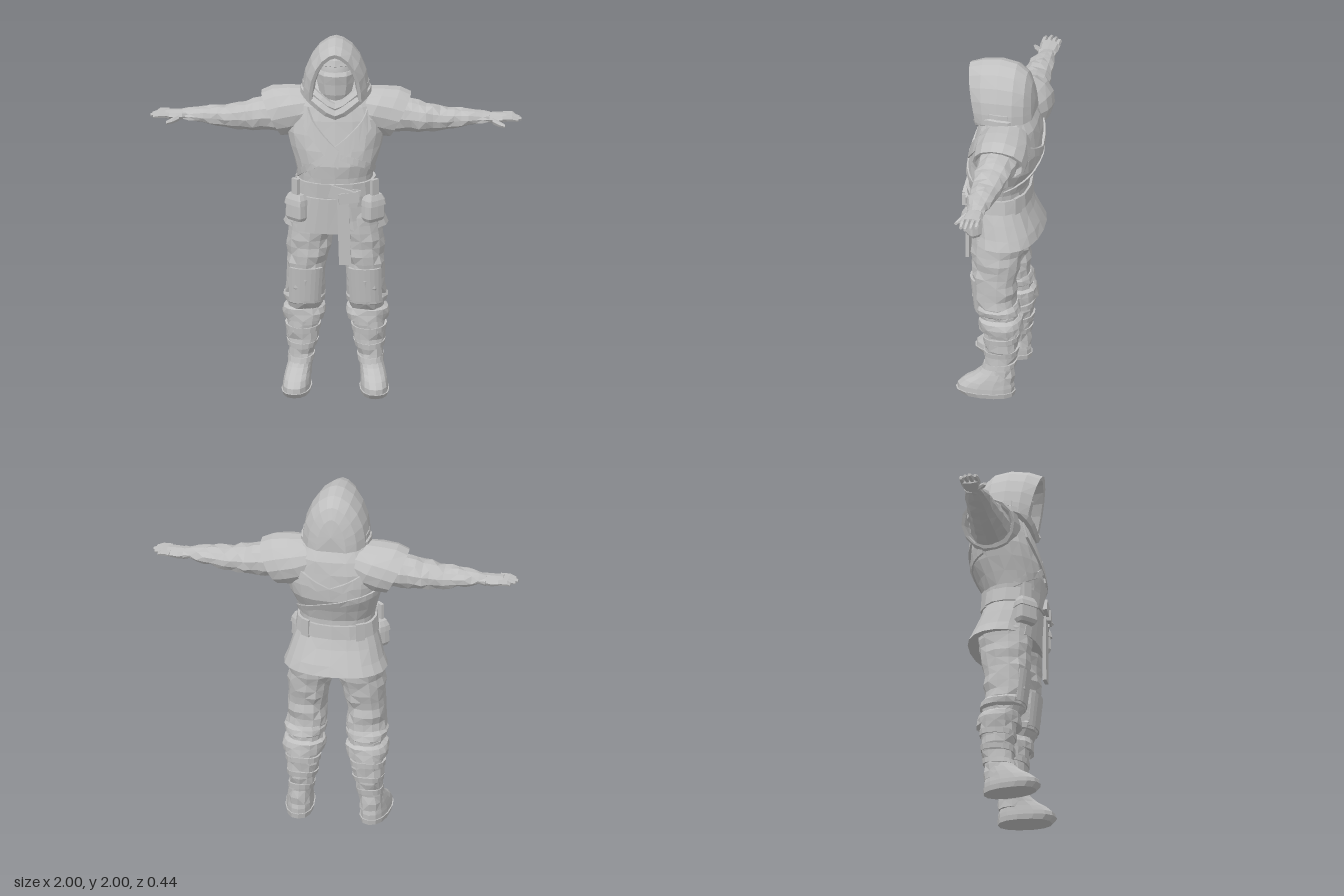
import * as THREE from 'three';

const grey = new THREE.MeshStandardMaterial({ color: 0xc0c0c0, side: THREE.DoubleSide });
grey.name = 'grey cloth';

let seed = 7;
const rand = () => ((seed = (seed * 16807) % 2147483647) / 2147483647) * 2 - 1;

// Flat-shaded skin over a list of point rings.
function skin(rings, { closed = true, caps = true } = {}) {
  const pos = [];
  const tri = (...p) => p.forEach(v => pos.push(v.x, v.y, v.z));
  const n = rings[0].length, m = closed ? n : n - 1;
  for (let i = 0; i + 1 < rings.length; i++) for (let j = 0; j < m; j++) {
    const k = (j + 1) % n, A = rings[i][j], B = rings[i][k], C = rings[i + 1][k], D = rings[i + 1][j];
    if ((i + j) % 2) { tri(A, B, C); tri(A, C, D); } else { tri(A, B, D); tri(B, C, D); }
  }
  if (caps) [rings[0], rings[rings.length - 1]].forEach((r, e) => {
    const c = r.reduce((s, p) => s.add(p), new THREE.Vector3()).divideScalar(n);
    for (let j = 0; j < n; j++) e ? tri(r[j], r[(j + 1) % n], c) : tri(r[(j + 1) % n], r[j], c);
  });
  const g = new THREE.BufferGeometry();
  g.setAttribute('position', new THREE.Float32BufferAttribute(pos, 3));
  g.computeVertexNormals();
  return g;
}

// Profile rows: [height, centre x, centre z, radius x, radius z].
function rowAt(rows, y) {
  let i = 0;
  while (i < rows.length - 2 && y > rows[i + 1][0]) i++;
  const t = (y - rows[i][0]) / (rows[i + 1][0] - rows[i][0]);
  return rows[i].map((v, k) => v + (rows[i + 1][k] - v) * t);
}
const power = (v, e) => Math.sign(v) * Math.abs(v) ** (2 / e);
const onRow = ([y, cx, cz, rx, rz], a, o = 0, e = 2.3) =>
  new THREE.Vector3(cx + (rx + o) * power(Math.sin(a), e), y, cz + (rz + o) * power(Math.cos(a), e));
const onBody = (rows, a, y, o) => onRow(rowAt(rows, y), a, o);

// Loft through a profile, optionally resampled to n rings with cloth folds.
function loft(rows, { n = 0, sides = 12, fold = 0, e = 2.3, caps = true, shear = 0 } = {}) {
  const y0 = rows[0][0], y1 = rows[rows.length - 1][0];
  const list = n ? Array.from({ length: n }, (_, i) => rowAt(rows, y0 + (y1 - y0) * i / (n - 1))) : rows;
  return skin(list.map((r, i) => Array.from({ length: sides }, (_, j) => {
    const a = j / sides * Math.PI * 2;
    const p = onRow(r, a, fold * (0.6 * Math.sin(2 * a + i * 2.1) + 0.6 * rand()), e);
    p.y -= shear * (p.x - r[1]);
    return p;
  })), { caps });
}

// Raised strip lying on a profile along a path of [angle, height].
function band(rows, path, width, o) {
  const rings = [];
  for (let i = 0; i + 1 < path.length; i++) for (let s = i ? 1 : 0; s <= 4; s++) {
    const [a, y] = path[i].map((v, k) => v + (path[i + 1][k] - v) * s / 4), h = width / 2;
    rings.push([onBody(rows, a, y + h, -0.01), onBody(rows, a, y + h, o),
      onBody(rows, a, y - h, o), onBody(rows, a, y - h, -0.01)]);
  }
  return skin(rings);
}

// Copy of a geometry reflected across x = 0, with its corners reordered.
function mirrored(g) {
  const m = (g.index ? g.toNonIndexed() : g.clone()).scale(-1, 1, 1), p = m.attributes.position;
  for (let i = 0; i < p.count; i += 3) {
    const b = new THREE.Vector3().fromBufferAttribute(p, i + 1), c = new THREE.Vector3().fromBufferAttribute(p, i + 2);
    p.setXYZ(i + 1, c.x, c.y, c.z);
    p.setXYZ(i + 2, b.x, b.y, b.z);
  }
  m.computeVertexNormals();
  return m;
}

export function createModel() {
  seed = 7;
  const model = new THREE.Group();
  model.name = 'hooded figure';
  const add = (name, g) => {
    if (g.index) { g = g.toNonIndexed(); g.computeVertexNormals(); }
    const mesh = new THREE.Mesh(g, grey);
    mesh.name = name;
    model.add(mesh);
  };
  const pair = (name, g) => { add(name + 'Left', g); add(name + 'Right', mirrored(g)); };
  const box = (w, h, d, x, y, z, ry = 0, rz = 0) =>
    new THREE.BoxGeometry(w, h, d).rotateZ(rz).rotateY(ry).translate(x, y, z);
  const sideways = g => g.rotateZ(-Math.PI / 2);

  // Tunic
  const tunic = [[0.945, 0, -0.025, 0.283, 0.19], [1.0, 0, -0.015, 0.262, 0.178], [1.08, 0, 0.005, 0.235, 0.165],
    [1.15, 0, 0.023, 0.212, 0.157], [1.2, 0, 0.026, 0.203, 0.157], [1.25, 0, 0.028, 0.203, 0.163],
    [1.32, 0, 0.018, 0.223, 0.178], [1.4, 0, -0.008, 0.25, 0.19], [1.48, 0, -0.02, 0.266, 0.185],
    [1.56, 0, -0.026, 0.262, 0.172], [1.63, 0, -0.03, 0.23, 0.152], [1.69, 0, -0.03, 0.19, 0.12], [1.74, 0, -0.03, 0.1, 0.08]];
  add('tunic', loft(tunic, { sides: 20, fold: 0.004 }));
  add('skirtOverlap', band(tunic, [[-0.75, 1.035], [0.1, 1.03]], 0.2, 0.01));
  add('lapelRight', band(tunic, [[-0.62, 1.58], [-0.25, 1.46], [0.06, 1.36]], 0.1, 0.013));
  add('lapelLeft', band(tunic, [[-0.05, 1.37], [0.35, 1.47], [0.75, 1.57]], 0.1, 0.009));
  add('vestHemFront', band(tunic, [[-1.4, 1.24], [-0.5, 1.32], [-0.05, 1.385], [0.5, 1.34], [1.4, 1.27]], 0.035, 0.009));
  add('vestHemBack', band(tunic, [[1.9, 1.27], [2.7, 1.33], [3.5, 1.4], [4.3, 1.44]], 0.035, 0.009));
  add('backFold', band(tunic, [[2.3, 1.57], [3.14, 1.46], [4.0, 1.57]], 0.05, 0.01));

  // Belt, knot and hanging ends
  add('belt', band(tunic, [[0, 1.182], [1.57, 1.182], [3.14, 1.182], [4.71, 1.182], [6.2832, 1.182]], 0.078, 0.014));
  add('knot', box(0.12, 0.07, 0.035, 0.03, 1.17, 0.195, 0, -0.3));
  add('knotWrap', box(0.11, 0.06, 0.03, 0.075, 1.15, 0.2, 0.15, 0.1));
  add('sashLong', box(0.065, 0.38, 0.02, 0.05, 0.955, 0.188, 0, 0.03));
  add('sashShort', box(0.05, 0.1, 0.02, 0.105, 1.14, 0.185, 0.3, -0.25));

  // Hip pouches with flaps and loops
  const pouch = [[1.0, 0, 0, 0.05, 0.03], [1.02, 0, 0, 0.06, 0.04], [1.09, 0, 0, 0.057, 0.038], [1.14, 0, 0, 0.045, 0.025]];
  const onHip = g => g.rotateY(0.75).translate(0.205, 0, 0.13);
  pair('pouch', onHip(loft(pouch, { sides: 12, e: 6 })));
  pair('pouchFlap', onHip(loft([[1.09, 0, 0.004, 0.063, 0.042], [1.12, 0, 0.002, 0.059, 0.038], [1.148, 0, 0, 0.045, 0.027]], { sides: 12, e: 6 })));
  pair('pouchLoop', onHip(box(0.045, 0.1, 0.02, 0, 1.185, 0.012)));
  pair('rearLoop', box(0.05, 0.1, 0.016, 0.15, 1.182, -0.108, -0.55));

  // Trousers with knee patches
  const leg = [[0.47, 0.165, -0.01, 0.092, 0.1], [0.52, 0.165, 0.002, 0.1, 0.113], [0.6, 0.163, 0.016, 0.106, 0.12],
    [0.7, 0.16, 0.018, 0.106, 0.122], [0.8, 0.147, 0.01, 0.115, 0.132], [0.9, 0.137, 0.005, 0.125, 0.143],
    [1.0, 0.125, 0.005, 0.125, 0.15], [1.06, 0.11, 0.01, 0.11, 0.13]];
  pair('trouserLeg', loft(leg, { n: 14, sides: 14, fold: 0.008 }));
  pair('kneePatch', band(leg, [[-0.85, 0.625], [0, 0.625], [0.85, 0.625]], 0.19, 0.01));
  pair('kneeFold', loft([[0.5, 0.167, -0.005, 0.09, 0.1], [0.515, 0.167, -0.003, 0.112, 0.122],
    [0.545, 0.167, 0.003, 0.113, 0.124], [0.565, 0.165, 0.005, 0.1, 0.115]], { sides: 14, fold: 0.004 }));

  // Boots: shaft, cuff, straps, foot and sole
  const shaft = [[0.08, 0.198, -0.012, 0.068, 0.088], [0.14, 0.192, -0.01, 0.066, 0.088], [0.2, 0.185, -0.022, 0.066, 0.083],
    [0.3, 0.178, -0.027, 0.085, 0.092], [0.4, 0.177, -0.025, 0.094, 0.098], [0.5, 0.172, -0.015, 0.09, 0.096]];
  pair('bootShaft', loft(shaft, { n: 11, sides: 12, fold: 0.006 }));
  pair('bootCuff', loft([[0.42, 0.174, -0.022, 0.095, 0.1], [0.405, 0.174, -0.022, 0.112, 0.118], [0.44, 0.172, -0.021, 0.117, 0.122],
    [0.47, 0.172, -0.02, 0.112, 0.117], [0.485, 0.172, -0.015, 0.09, 0.1]], { sides: 16, fold: 0.006 }));
  for (const y of [0.17, 0.25, 0.34])
    pair('bootStrap', band(shaft, [[0, y], [1.57, y + 0.015], [3.14, y + 0.03], [4.71, y + 0.015], [6.2832, y]], 0.03, 0.006));
  const splay = g => g.translate(-0.2, 0, 0).rotateY(0.1).translate(0.2, 0, 0);
  pair('foot', splay(loft([[0.02, 0.203, 0.055, 0.074, 0.155], [0.055, 0.203, 0.053, 0.073, 0.155], [0.085, 0.202, 0.04, 0.07, 0.135],
    [0.11, 0.2, 0.02, 0.068, 0.11], [0.14, 0.195, 0.002, 0.066, 0.09], [0.17, 0.19, -0.01, 0.062, 0.08]], { sides: 14 })));
  pair('sole', splay(loft([[0, 0.203, 0.045, 0.073, 0.148], [0.028, 0.203, 0.056, 0.08, 0.163]], { sides: 14 })));

  // Sleeves along x; rows are [x, -y, z, radius y, radius z]
  const arm = [[0.22, -1.56, -0.05, 0.105, 0.12], [0.33, -1.553, -0.045, 0.098, 0.11], [0.42, -1.545, -0.04, 0.087, 0.1],
    [0.5, -1.535, -0.036, 0.077, 0.095], [0.6, -1.53, -0.034, 0.06, 0.08], [0.7, -1.537, -0.033, 0.047, 0.069],
    [0.78, -1.537, -0.034, 0.033, 0.055], [0.83, -1.537, -0.035, 0.027, 0.046]];
  pair('sleeve', sideways(loft(arm, { n: 17, sides: 11, fold: 0.008, e: 2 })));
  const cap = [[0.1, -1.61, -0.04, 0.09, 0.12], [0.2, -1.583, -0.046, 0.122, 0.145], [0.28, -1.565, -0.05, 0.13, 0.15],
    [0.345, -1.548, -0.05, 0.122, 0.145], [0.343, -1.548, -0.05, 0.108, 0.128], [0.29, -1.555, -0.05, 0.1, 0.12]];
  pair('shoulderCap', sideways(loft(cap, { sides: 14, fold: 0.005, e: 2, shear: 0.5 })));

  // Hands: palm, fingers and thumb
  pair('palm', sideways(loft([[0.81, -1.537, -0.035, 0.025, 0.042], [0.86, -1.535, -0.035, 0.027, 0.052],
    [0.92, -1.54, -0.033, 0.02, 0.055]], { sides: 8 })));
  [0.967, 0.99, 1.0, 0.985].forEach((tip, i) => {
    const z = -0.074 + i * 0.027;
    pair('finger', sideways(loft([[0.9, -1.542, z, 0.016, 0.014], [0.95, -1.543, z, 0.015, 0.014],
      [tip, -1.535, z, 0.009, 0.009]], { sides: 6 })));
  });
  pair('thumb', sideways(loft([[0.845, -1.53, 0, 0.018, 0.022], [0.88, -1.52, 0.028, 0.016, 0.018],
    [0.915, -1.514, 0.05, 0.009, 0.011]], { sides: 6 })));

  // Hood: arches from the face opening to the back, rows [top z, bottom z, half width, top, bottom]
  const arch = [[1, 0], [0.98, 0.2], [0.91, 0.42], [0.74, 0.66], [0.5, 0.85], [0.22, 0.965]];
  const full = [...arch.map(([x, h]) => [-x, h]), [0, 1], ...arch.slice().reverse()];
  const hood = [[0.13, 0.08, 0.115, 1.925, 1.67], [0.182, 0.125, 0.125, 1.935, 1.67], [0.192, 0.13, 0.142, 1.958, 1.67],
    [0.12, 0.08, 0.172, 1.985, 1.68], [0.02, 0, 0.182, 2.0, 1.685], [-0.07, -0.08, 0.172, 1.985, 1.69],
    [-0.128, -0.135, 0.135, 1.94, 1.69], [-0.155, -0.168, 0.08, 1.88, 1.69]];
  add('hood', skin(hood.map(([zt, zb, w, t, b]) => full.map(([x, h]) =>
    new THREE.Vector3(x * w, b + (t - b) * h, zb + (zt - zb) * h))), { closed: false, caps: false }));
  const [zt, zb, w, t, b] = hood[hood.length - 1];
  const back = full.map(([x, h]) => new THREE.Vector3(x * w, b + (t - b) * h, zb + (zt - zb) * h));
  const hub = new THREE.Vector3(0, 1.78, -0.172);
  add('hoodBack', skin([back, back.map(() => hub)], { caps: false }));

  // Folded cowl around the neck
  [[0, 0.03], [0.035, 0.026]].forEach(([lift, r]) => {
    const pts = [[0, 1.6, 0.135], [0.08, 1.645, 0.125], [0.155, 1.7, 0.06], [0.15, 1.7, -0.07], [0, 1.7, -0.125]];
    const right = pts.slice(1, 4).reverse().map(([x, y, z]) => [-x, y, z]);
    const curve = new THREE.CatmullRomCurve3([...pts, ...right].map(([x, y, z]) => new THREE.Vector3(x * (1 - lift), y + lift, z * (1 - lift * 3))), true);
    add('cowlFold', new THREE.TubeGeometry(curve, 22, r, 6, true));
  });

  // Face, mask and brow wrap
  add('face', new THREE.IcosahedronGeometry(1, 2).scale(0.098, 0.14, 0.1).translate(0, 1.8, 0.01));
  add('mask', loft([[1.64, 0, 0.04, 0.06, 0.05], [1.7, 0, 0.035, 0.09, 0.08], [1.76, 0, 0.03, 0.104, 0.092],
    [1.81, 0, 0.03, 0.106, 0.103], [1.828, 0, 0.02, 0.1, 0.1]], { sides: 10, e: 2 }));
  add('browWrap', loft([[1.862, 0, 0.02, 0.1, 0.095], [1.868, 0, 0.022, 0.104, 0.108], [1.9, 0, 0.02, 0.09, 0.1],
    [1.925, 0, 0.02, 0.06, 0.08]], { sides: 10, e: 2 }));
  return model;
}
